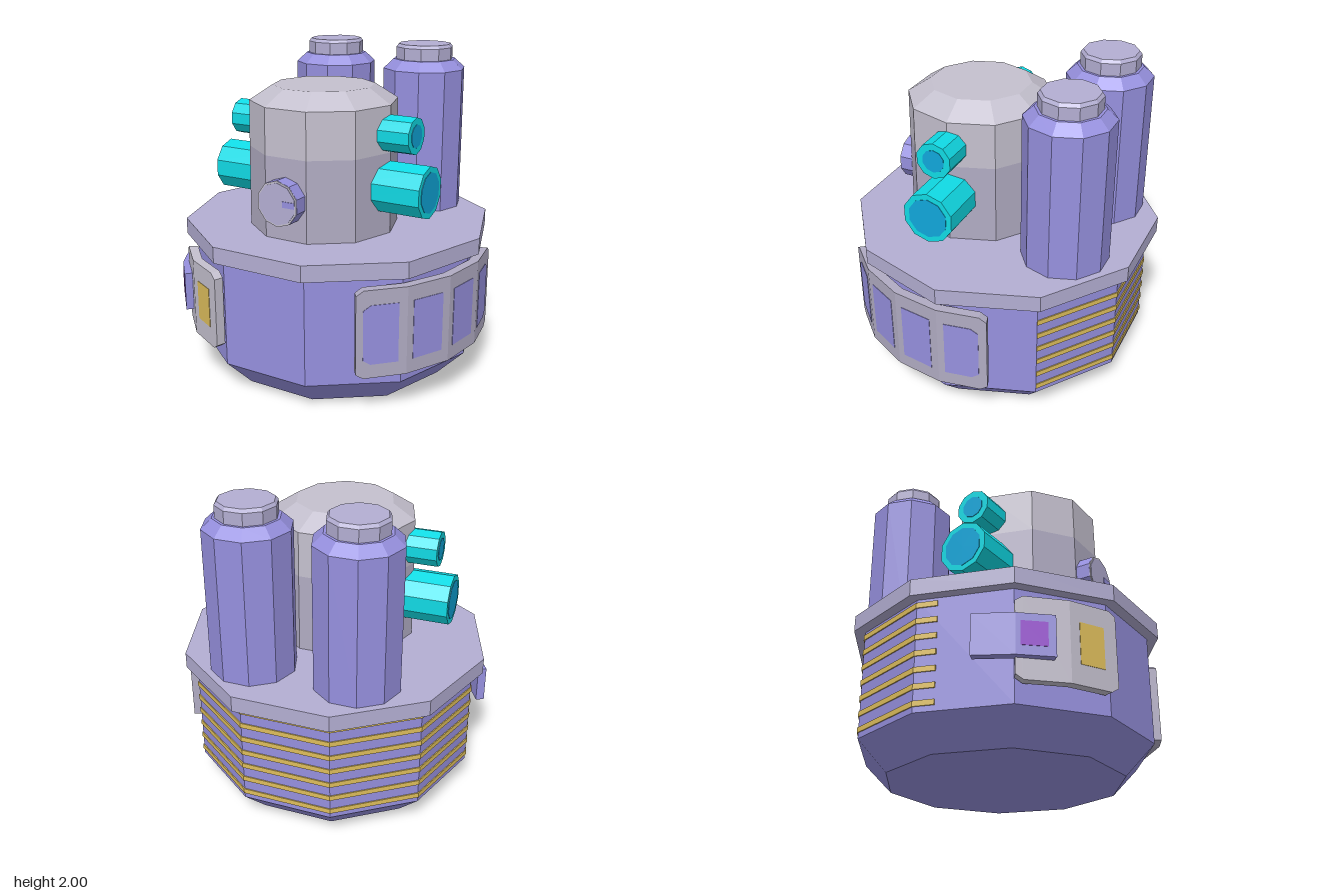
import * as THREE from 'three';

const mat = (name, color) => {
  const m = new THREE.MeshStandardMaterial({ color });
  m.name = name;
  return m;
};

// Turns any geometry into hard-edged facets
function faceted(geometry) {
  const g = geometry.index ? geometry.toNonIndexed() : geometry;
  g.computeVertexNormals();
  return g;
}

// Ten-sided turned solid with a corner on the x axis; profile is [radius, y] going up
function turned(profile) {
  const pts = [[0, profile[0][1]], ...profile, [0, profile[profile.length - 1][1]]];
  const g = new THREE.LatheGeometry(pts.map(([r, y]) => new THREE.Vector2(r, y)), 10);
  g.rotateY(Math.PI / 10);
  return faceted(g);
}

// Point on the ground plan: angle runs from +x towards +z
const plan = (deg, r) => {
  const a = THREE.MathUtils.degToRad(deg);
  return new THREE.Vector2(Math.cos(a) * r, Math.sin(a) * r);
};

// Bent slab along plan points (angle increasing); the inner face is the outer one scaled by k.
// cutA and cutB chamfer the corners at the start and the end.
function slab(points, k, y0, y1, cutA = 0, cutB = 0) {
  const rows = points.map((p) => ({ p, c: 0 }));
  const chamfer = (end, next, c) => {
    const dir = next.p.clone().sub(end.p).normalize();
    end.c = c * 0.65;
    return { p: end.p.clone().addScaledVector(dir, c), c: 0 };
  };
  if (cutA) rows.splice(1, 0, chamfer(rows[0], rows[1], cutA));
  const n = rows.length;
  if (cutB) rows.splice(n - 1, 0, chamfer(rows[n - 1], rows[n - 2], cutB));
  const sections = rows.map(({ p, c }) => [
    [p.x, y0 + c, p.y], [p.x, y1 - c, p.y],
    [p.x * k, y1 - c, p.y * k], [p.x * k, y0 + c, p.y * k],
  ]);
  const pos = [];
  const quad = (a, b, c, d) => pos.push(...a, ...b, ...c, ...a, ...c, ...d);
  for (let s = 0; s < sections.length - 1; s++) {
    const a = sections[s], b = sections[s + 1];
    for (let i = 0; i < 4; i++) {
      const j = (i + 1) % 4;
      quad(a[i], a[j], b[j], b[i]);
    }
  }
  const f = sections[0], l = sections[sections.length - 1];
  quad(f[0], f[3], f[2], f[1]);
  quad(l[0], l[1], l[2], l[3]);
  const g = new THREE.BufferGeometry();
  g.setAttribute('position', new THREE.Float32BufferAttribute(pos, 3));
  return faceted(g);
}

// Thin plate lying on the flat between two angles, from fraction f0 to f1
function plate(degA, degB, r, f0, f1, y0, y1, cutA = 0, cutB = 0) {
  const a = plan(degA, r + 0.003), b = plan(degB, r + 0.003);
  const ends = [a.clone().lerp(b, f0), a.clone().lerp(b, f1)];
  return slab(ends, 0.994, y0, y1, cutA, cutB);
}

export function createModel() {
  const hull = mat('violet hull', 0x9690de);
  const deck = mat('lavender deck', 0xb3aed2);
  const pale = mat('pale grey', 0xc4c0ce);
  const grey = mat('lilac grey', 0xb0abc2);
  const cyan = mat('cyan', 0x10dae4);
  const blue = mat('lens blue', 0x10a6da);
  const gold = mat('gold', 0xdebe5c);
  const purple = mat('purple', 0x9440d0);

  const model = new THREE.Group();
  const add = (name, geometry, material, x = 0, y = 0, z = 0) => {
    const m = new THREE.Mesh(geometry, material);
    m.name = name;
    m.position.set(x, y, z);
    model.add(m);
    return m;
  };

  // Main drum and its overhanging deck
  add('body', turned([[0.725, 0], [0.9, 0.18], [0.9, 0.85]]), hull);
  add('deck', turned([[0.968, 0.845], [0.968, 0.945]]), deck);

  // Turret in two tones
  add('turretBase', turned([[0.46, 0.94], [0.455, 1.44]]), grey, 0, 0, 0.17);
  add('turretTop', turned([[0.455, 1.44], [0.451, 1.72], [0.31, 1.81]]), pale, 0, 0, 0.17);

  // Twin tanks, and the lamps on both sides of the turret
  for (const side of [-1, 1]) {
    add('tank', turned([[0.265, 0.94], [0.265, 1.845], [0.2, 1.905]]), hull, side * 0.33, 0, -0.533);
    add('tankCap', turned([[0.183, 1.9], [0.183, 1.98], [0.168, 2]]), deck, side * 0.33, 0, -0.533);
    for (const [y, r, end, lensR] of [[1.23, 0.16, 0.715, 0.125], [1.555, 0.111, 0.62, 0.07]]) {
      const turn = -side * Math.PI / 2;
      add('lamp', turned([[r, 0.3], [r, end]]).rotateZ(turn), cyan, 0, y, 0.17);
      add('lampLens', turned([[lensR, end - 0.003], [lensR, end + 0.003]]).rotateZ(turn), blue, 0, y, 0.17);
    }
  }

  // Dial on the turret front, with a corner pointing up
  const dial = (r, z0, z1) => turned([[r, z0], [r, z1]]).rotateX(Math.PI / 2).rotateZ(Math.PI / 2);
  add('dial', dial(0.139, 0.55, 0.692), hull, 0, 1.19, 0);
  add('dialRim', dial(0.138, 0.69, 0.697), pale, 0, 1.19, 0);
  add('dialFace', dial(0.127, 0.695, 0.7), deck, 0, 1.19, 0);
  add('dialMark', new THREE.BoxGeometry(0.08, 0.036, 0.005), hull, 0.08, 1.195, 0.701);

  // Curved window band on the left side
  const R = 0.967;
  const steps = [-18, 0, 18, 36, 54];
  add('windowBand', slab(steps.map((d) => plan(d, R)), 0.94, 0.265, 0.8, 0.045, 0.045), grey);
  for (let i = 0; i < 4; i++) {
    const cutA = i === 0 ? 0.045 : 0, cutB = i === 3 ? 0.045 : 0;
    add('window', plate(steps[i], steps[i + 1], R, 0.17, 0.86, 0.35, 0.71, cutA, cutB), hull);
  }

  // Front panel with a gold window and a control box
  add('frontPanel', slab([108, 126, 144].map((d) => plan(d, R)), 0.94, 0.29, 0.77, 0.045, 0.045), pale);
  add('goldWindow', plate(108, 126, R, 0.28, 0.8, 0.41, 0.655), gold);
  add('controlBox', slab([131.5, 144, 157.5].map((d) => plan(d, 1.005)), 0.947, 0.41, 0.65), hull);
  add('controlScreen', plate(131.5, 144, 1.005, 0.2, 0.88, 0.465, 0.605), purple);

  // Cooling slats around the back
  const slatPath = [plan(172.2, 0.878), ...[180, 216, 252, 288, 324].map((d) => plan(d, 0.907))];
  for (let i = 0; i < 7; i++) {
    const y = 0.23 + i * 0.0967;
    add('slat', slab(slatPath, 0.96, y - 0.016, y + 0.016), gold);
  }

  return model;
}
